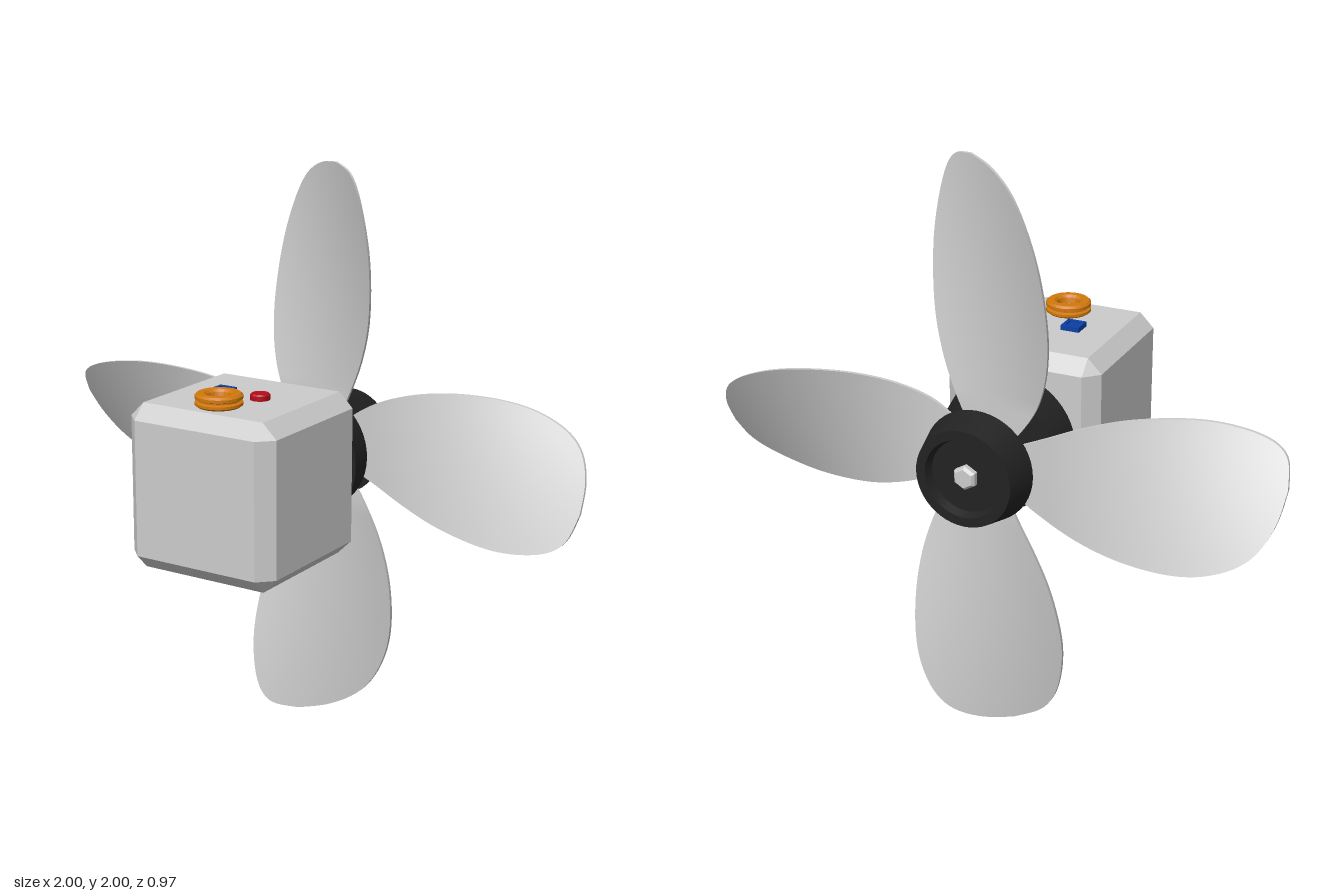
import * as THREE from 'three';
import { toCreasedNormals } from 'three/addons/utils/BufferGeometryUtils.js';
import { ConvexGeometry } from 'three/addons/geometries/ConvexGeometry.js';

const paint = (color) => new THREE.MeshStandardMaterial({ color });
const grey = paint(0xcccccc), black = paint(0x222222), orange = paint(0xd0780c);
const red = paint(0xb40c18), blue = paint(0x0c40a8);

function add(parent, name, geometry, material, x = 0, y = 0, z = 0) {
  const mesh = new THREE.Mesh(geometry, material);
  mesh.name = name;
  mesh.position.set(x, y, z);
  parent.add(mesh);
  return mesh;
}

// Turned part from [radius, height] pairs, crisp at its corners
function turned(profile, segments = 48) {
  const points = profile.map(([r, h]) => new THREE.Vector2(r, h));
  return toCreasedNormals(new THREE.LatheGeometry(points, segments), 0.5);
}

// Cube with every edge and corner cut off
function chamferedCube(half, cut) {
  const points = [], inner = half - cut;
  for (const sx of [-1, 1]) for (const sy of [-1, 1]) for (const sz of [-1, 1]) {
    for (const [x, y, z] of [[half, inner, inner], [inner, half, inner], [inner, inner, half]]) {
      points.push(new THREE.Vector3(sx * x, sy * y, sz * z));
    }
  }
  return new ConvexGeometry(points);
}

// Twisted blade along +x: thin sections spanned between two edge curves
function bladeGeometry() {
  const edge = (pts) => new THREE.SplineCurve(pts.map(([x, y]) => new THREE.Vector2(x, y)));
  const upper = edge([[0.03, 0.04], [0.1, 0.11], [0.2, 0.175], [0.32, 0.217], [0.45, 0.237], [0.58, 0.238],
    [0.7, 0.225], [0.8, 0.198], [0.89, 0.155], [0.95, 0.1], [0.988, 0.02], [1, -0.07]]);
  const lower = edge([[0.03, -0.03], [0.1, -0.06], [0.2, -0.105], [0.32, -0.157], [0.45, -0.198], [0.58, -0.22],
    [0.7, -0.228], [0.8, -0.221], [0.89, -0.203], [0.95, -0.177], [0.983, -0.14], [1, -0.07]]);
  const stations = 48, across = 10, thick = 0.012, ring = 2 * (across + 1);
  const position = [], index = [];
  for (let i = 0; i <= stations; i++) {
    const u = upper.getPoint(i / stations), l = lower.getPoint(i / stations);
    for (let k = 0; k < ring; k++) {
      const front = k <= across;
      const p = l.clone().lerp(u, (front ? k : ring - 1 - k) / across);
      const twist = 0.85 * Math.max(p.x - 0.2, 0);
      position.push(p.x, p.y, -twist * p.y + (front ? thick : -thick) / 2);
    }
  }
  for (let i = 0; i < stations; i++) for (let k = 0; k < ring; k++) {
    const a = i * ring + k, d = i * ring + (k + 1) % ring, b = a + ring, c = d + ring;
    index.push(a, b, c, a, c, d);
  }
  const geometry = new THREE.BufferGeometry();
  geometry.setAttribute('position', new THREE.Float32BufferAttribute(position, 3));
  geometry.setIndex(index);
  return toCreasedNormals(geometry, 0.7);
}

export function createModel() {
  const model = new THREE.Group();
  model.name = 'motorWithPropeller';

  // Motor housing
  add(model, 'housing', chamferedCube(0.28, 0.05), grey, 0, 1.005, 0.205);

  // Controls on top of the housing
  const controls = new THREE.Group();
  controls.name = 'controls';
  controls.position.y = 1.285;
  model.add(controls);
  add(controls, 'knob', turned([[0, 0], [0.07, 0], [0.078, 0.006], [0.078, 0.015], [0.068, 0.019], [0.068, 0.023],
    [0.078, 0.027], [0.078, 0.037], [0.07, 0.044], [0.048, 0.044], [0.04, 0.036], [0.036, 0.02], [0.024, 0.02],
    [0.02, 0.026], [0.01, 0.026], [0.008, 0.02], [0, 0.02]]), orange, 0, 0, 0.34);
  add(controls, 'roundButton', turned([[0, 0], [0.033, 0], [0.033, 0.016], [0.028, 0.021], [0, 0.021]], 32), red, 0.065, 0, 0.2);
  const square = (half, Type) => new Type([[-half, -half], [half, -half], [half, half], [-half, half]]
    .map(([x, y]) => new THREE.Vector2(x, y)));
  const frame = square(0.033, THREE.Shape);
  frame.holes.push(square(0.021, THREE.Path));
  const frameGeometry = new THREE.ExtrudeGeometry(frame, { depth: 0.018, bevelEnabled: false }).rotateX(-Math.PI / 2);
  add(controls, 'squareButtonFrame', frameGeometry, blue, -0.08, 0, 0.2);
  add(controls, 'squareButton', new THREE.BoxGeometry(0.042, 0.012, 0.042), blue, -0.08, 0.006, 0.2);

  // Propeller: lathe height runs backwards, along -z
  const propeller = new THREE.Group();
  propeller.name = 'propeller';
  propeller.position.y = 1;
  model.add(propeller);
  const backwards = (profile, segments) => turned(profile, segments).rotateX(-Math.PI / 2);
  add(propeller, 'collar', backwards([[0, 0.06], [0.145, 0.06], [0.145, 0.13], [0, 0.13]]), black);
  add(propeller, 'frontHub', backwards([[0, 0.127], [0.235, 0.127], [0.21, 0.245], [0, 0.245]]), black);
  add(propeller, 'shaft', backwards([[0, 0.24], [0.048, 0.24], [0.048, 0.38], [0, 0.38]], 32), black);
  add(propeller, 'rearHub', backwards([[0, 0.375], [0.195, 0.375], [0.167, 0.485], [0.135, 0.485], [0.125, 0.455],
    [0, 0.455]]), black);
  add(propeller, 'bolt', backwards([[0, 0.45], [0.042, 0.45], [0.042, 0.472], [0.032, 0.482], [0, 0.482]], 6), grey);

  // Four identical blades around the shaft
  const blade = bladeGeometry();
  for (let i = 0; i < 4; i++) {
    add(propeller, 'blade', blade, grey, 0, 0, -0.305).rotation.z = i * Math.PI / 2;
  }
  return model;
}
